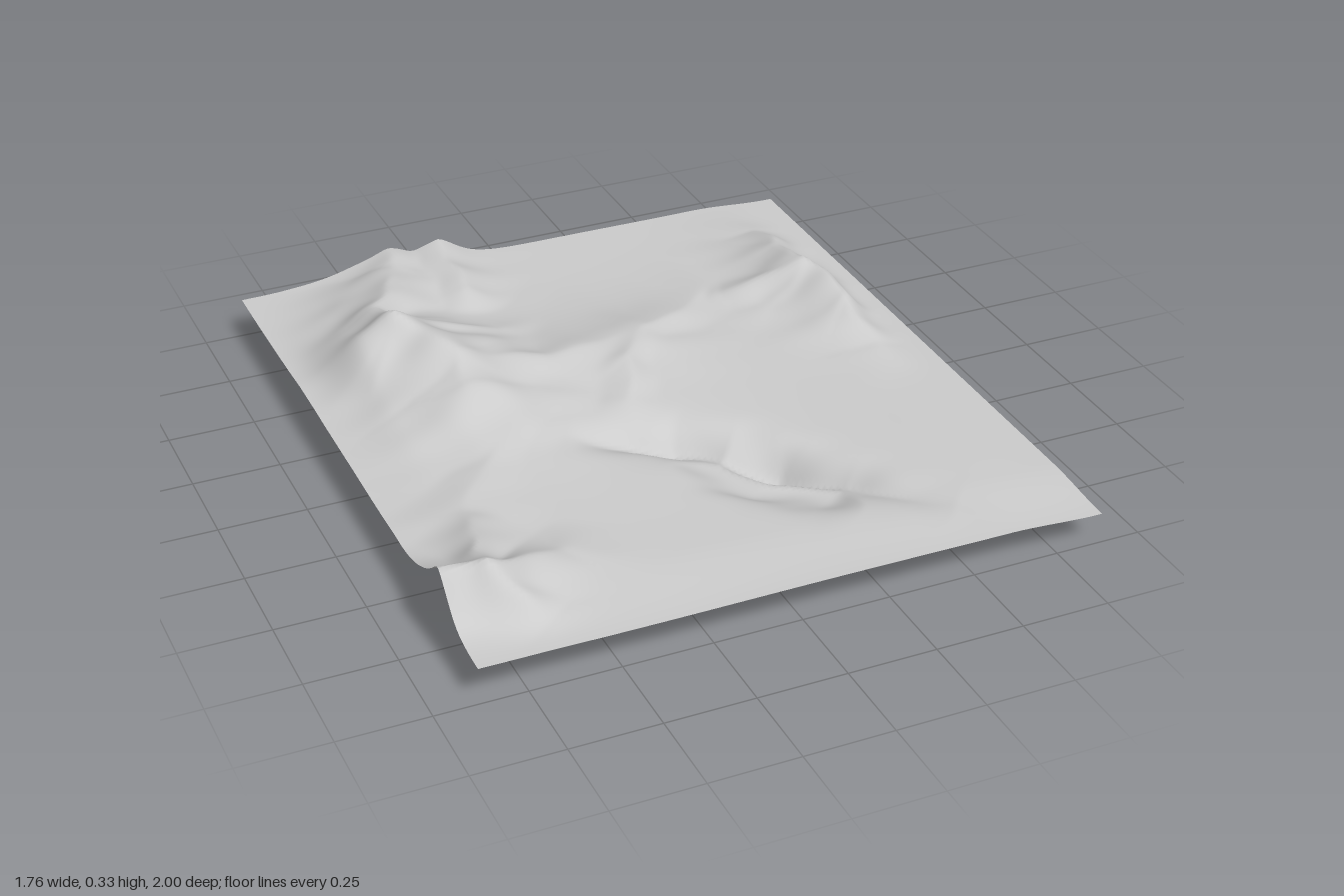
import * as THREE from 'three';

const smooth = THREE.MathUtils.smoothstep;

// Winding crests: points [x, z, rise above the plain], half widths left and right of the path
const crests = [
  // main mountain: south chain, north chain and the rise at the back border
  { left: 0.22, right: 0.22, pts: [[-0.6, -0.4, 0.185], [-0.48, -0.21, 0.145], [-0.49, -0.1, 0.12], [-0.4, 0.03, 0.05]] },
  { left: 0.16, right: 0.14, pts: [[-0.6, -0.4, 0.185], [-0.6, -0.58, 0.125], [-0.42, -0.88, 0.08], [-0.42, -1.05, 0.08]] },
  { left: 0.16, right: 0.09, pts: [[-0.24, -1.05, 0.08], [-0.28, -0.72, 0.055]].reverse() },
  // plateau and its steep south-east edge
  { left: 0.18, right: 0.16, pts: [[-0.48, -0.21, 0.12], [-0.2, -0.22, 0.06], [0.05, -0.24, 0.045]] },
  { left: 0.17, right: 0.07, pts: [[-0.06, 0.02, 0.025], [0, -0.13, 0.05], [0.13, -0.28, 0.05], [0.36, -0.42, 0.02]] },
  // east hill, steep towards the border
  { left: 0.13, right: 0.075, pts: [[0.73, 0, 0.02], [0.73, -0.2, 0.085], [0.7, -0.4, 0.108], [0.69, -0.57, 0.075], [0.71, -0.76, 0.015]] },
  // front corner hill and the low link to the mountain
  { left: 0.12, right: 0.085, pts: [[-0.95, 0.71, 0.112], [-0.76, 0.75, 0.12]] },
  { left: 0.13, right: 0.13, pts: [[-0.69, 0.4, 0.025], [-0.42, 0.03, 0.04]] },
];

// Hills: a peak with straight spurs [angle from +x towards +z in degrees, length]
const hills = [
  { peak: [-0.6, -0.4, 0.17], w: 0.11, spurs: [[188, 0.26], [129, 0.27], [-11, 0.34]] },
  { peak: [0.7, -0.4, 0.1], w: 0.1, spurs: [[185, 0.25], [150, 0.2]] },
  { peak: [-0.76, 0.75, 0.11], w: 0.09, spurs: [[-19, 0.27], [56, 0.18], [-80, 0.38]] },
];

// Trench floor and the shelf beside it: [x, z, depth below the plain]
const trench = [[-0.28, 0.16, 0.008], [-0.02, 0.22, 0.088], [0.09, 0.32, 0.065],
  [0.22, 0.44, 0.12], [0.32, 0.58, 0.06], [0.53, 0.82, 0.004]];
const shelf = [[0.03, 0.3, 0.05], [0.12, 0.5, 0.06], [0.26, 0.62, 0.055]];

// Each spur falls evenly to a fifth of its peak
const spurRidges = hills.flatMap(({ peak: [x, z, h], w, spurs }) => spurs.map(([angle, length]) => {
  const a = THREE.MathUtils.degToRad(angle);
  return { left: w, right: w, pts: [[x, z, h], [x + length * Math.cos(a), z + length * Math.sin(a), h * 0.2]] };
}));
const ridges = [...crests, ...spurRidges];

// Largest value along a path, fading with distance; the two sides blend across the path
function alongPath(x, z, { pts, left, right }, power) {
  let best = 0;
  for (let i = 1; i < pts.length; i++) {
    const [ax, az, av] = pts[i - 1], [bx, bz, bv] = pts[i];
    const dx = bx - ax, dz = bz - az, len = Math.hypot(dx, dz);
    const t = THREE.MathUtils.clamp(((x - ax) * dx + (z - az) * dz) / (len * len), 0, 1);
    const ox = x - ax - t * dx, oz = z - az - t * dz, d = Math.hypot(ox, oz);
    const side = (ox * dz - oz * dx) / (len * d + 1e-6);
    const w = THREE.MathUtils.lerp(right, left, smooth(side, -0.8, 0.8));
    best = Math.max(best, (av + t * (bv - av)) * Math.exp(-Math.pow(d / w, power)));
  }
  return best;
}

function height(x, z) {
  // slight bending keeps the crests from looking straight
  const wx = x + 0.012 * Math.sin(17 * z + 5 * x) + 0.005 * Math.sin(41 * z);
  const wz = z + 0.012 * Math.sin(15 * x - 4 * z) + 0.005 * Math.sin(37 * x);
  let sum = 0;
  for (const ridge of ridges) sum += Math.pow(alongPath(wx, wz, ridge, 1.4), 10);
  let rise = Math.pow(sum, 0.1);
  // gullies grow with the slope
  rise *= 1 + 0.07 * Math.sin(24 * x + 9 * z) * Math.sin(21 * z - 8 * x) * smooth(rise, 0.01, 0.06);
  // broad swell in the middle
  rise += 0.016 * Math.exp(-((x + 0.05) ** 2 + (z + 0.2) ** 2) / 0.16);
  // the land flattens towards the east, front and west borders
  rise *= 1 - 0.97 * smooth(x, 0.74, 0.88);
  rise *= 1 - 0.9 * smooth(z, 0.8, 0.97);
  rise *= 1 - 0.75 * smooth(-x, 0.7, 0.88) * smooth(0.4 - z, 0, 0.2);
  const plain = 0.118 - 0.014 * smooth(x, 0.6, 0.88) - 0.014 * smooth(z, 0.75, 1);
  const swell = 0.003 * Math.sin(6 * x + 1) * Math.cos(5 * z);
  // the trench has a steep north-east wall; the shelf lies on its south-west side
  const cut = Math.max(alongPath(wx, wz, { pts: trench, left: 0.06, right: 0.08 }, 1.4),
    alongPath(wx, wz, { pts: shelf, left: 0.1, right: 0.1 }, 2.2));
  return plain + swell + rise - cut;
}

export function createModel() {
  const group = new THREE.Group();
  group.name = 'landscape';

  // A fine sheet lifted by the height rule
  const geometry = new THREE.PlaneGeometry(1.76, 2, 132, 150).rotateX(-Math.PI / 2);
  const pos = geometry.attributes.position;
  for (let i = 0; i < pos.count; i++) pos.setY(i, height(pos.getX(i), pos.getZ(i)));
  // rest the trench bottom on the ground
  geometry.computeBoundingBox();
  geometry.translate(0, -geometry.boundingBox.min.y, 0);
  geometry.computeVertexNormals();

  const terrain = new THREE.Mesh(geometry,
    new THREE.MeshStandardMaterial({ color: 0xcccccc, side: THREE.DoubleSide }));
  terrain.name = 'terrain';
  group.add(terrain);
  return group;
}
